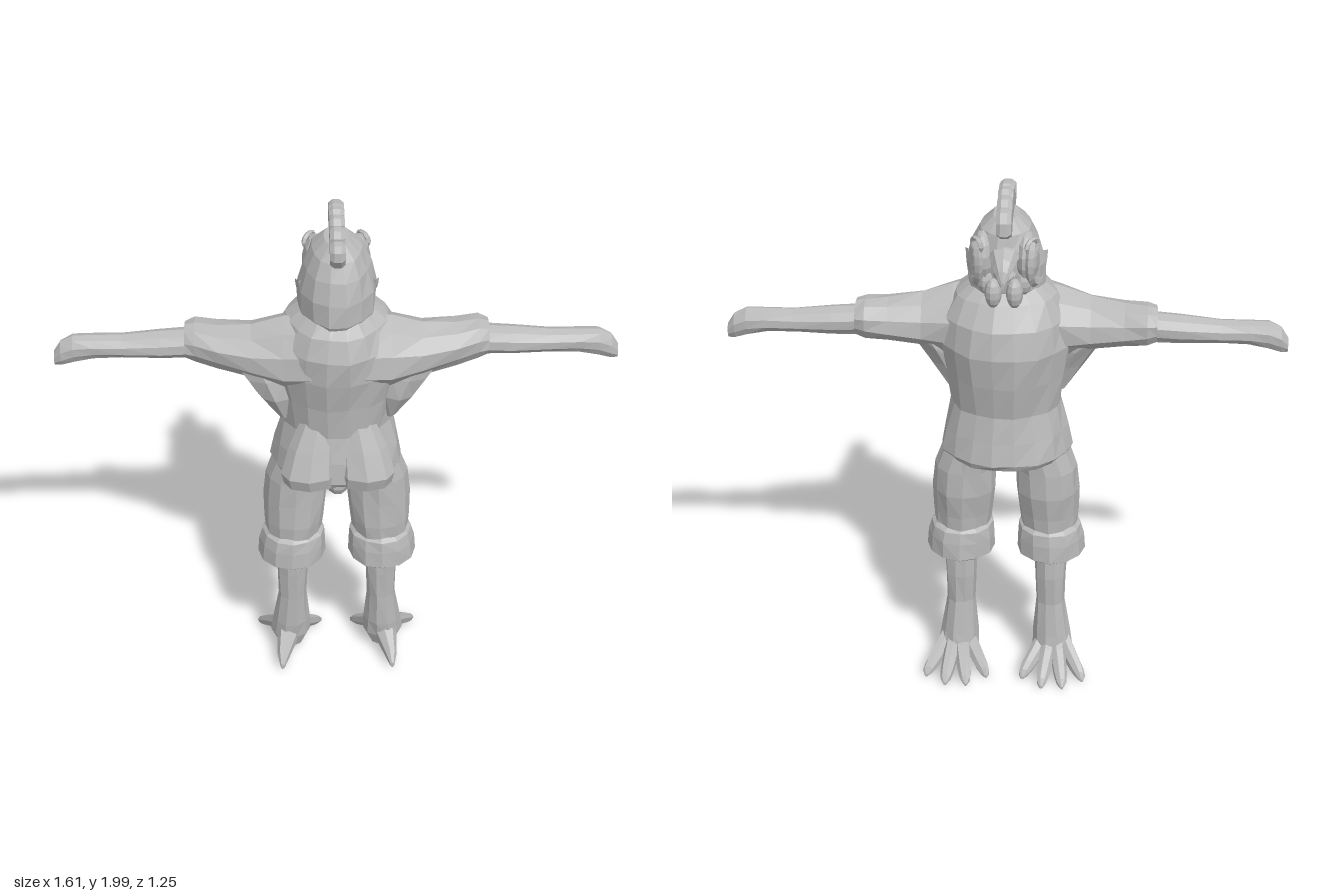
import * as THREE from 'three';

const grey = new THREE.MeshStandardMaterial({ color: 0xbababa, flatShading: true });
grey.name = 'plain grey';

// Skin through elliptical rings [y, cx, cz, rx, front rz, back rz]; ripple roughens the radius.
function loft(rings, sides = 12, ripple = 0) {
  const pos = [], idx = [];
  rings.forEach(([y, cx, cz, rx, rf, rb = rf], k) => {
    for (let i = 0; i < sides; i++) {
      const t = (i / sides) * Math.PI * 2, s = Math.sin(t);
      const w = 1 + ripple * Math.sin(i * 2.4 + k * 1.3);
      pos.push(cx + rx * w * Math.cos(t), y, cz + (s > 0 ? rf : rb) * w * s);
    }
  });
  for (let k = 0; k < rings.length - 1; k++) {
    for (let i = 0; i < sides; i++) {
      const a = k * sides + i, b = k * sides + (i + 1) % sides;
      idx.push(a, a + sides, b, b, a + sides, b + sides);
    }
  }
  // end caps
  const last = (rings.length - 1) * sides;
  for (let i = 1; i < sides - 1; i++) {
    idx.push(0, i, i + 1, last, last + i + 1, last + i);
  }
  const g = new THREE.BufferGeometry();
  g.setAttribute('position', new THREE.Float32BufferAttribute(pos, 3));
  g.setIndex(idx);
  g.computeVertexNormals();
  return g;
}

// Loft that runs along +x: rings [x, y, z, ry, rz]
const loftX = (rings, sides, ripple) =>
  loft(rings.map(([x, y, z, ry, rz]) => [x, -y, z, ry, rz]), sides, ripple).rotateZ(-Math.PI / 2);
// Loft that runs along +z: rings [z, x, y, rx, ry]
const loftZ = (rings, sides, ripple) =>
  loft(rings.map(([z, x, y, rx, ry]) => [z, x, -y, rx, ry]), sides, ripple).rotateX(Math.PI / 2);

const ball = (x, y, z, rx, ry, rz) =>
  new THREE.SphereGeometry(1, 10, 7).scale(rx, ry, rz).translate(x, y, z);

function mirrored(g) {
  const m = g.clone().scale(-1, 1, 1);
  const a = m.index.array;
  for (let i = 0; i < a.length; i += 3) [a[i], a[i + 1]] = [a[i + 1], a[i]];
  m.computeVertexNormals();
  return m;
}

export function createModel() {
  const model = new THREE.Group();
  model.name = 'roosterFigure';
  const add = (name, g) => {
    const mesh = new THREE.Mesh(g, grey);
    mesh.name = name;
    model.add(mesh);
  };
  const pair = (name, g) => {
    add(name + 'Left', g);
    add(name + 'Right', mirrored(g));
  };

  // shirt body, flared at the hem
  add('shirt', loft([
    [0.96, 0, 0, 0.225, 0.18, 0.19], [0.985, 0, 0, 0.24, 0.195, 0.21],
    [1.07, 0, 0, 0.225, 0.18, 0.205], [1.17, 0, 0, 0.20, 0.165, 0.185],
    [1.3, 0, 0, 0.215, 0.19, 0.2], [1.42, 0, 0, 0.235, 0.205, 0.225],
    [1.52, 0, 0, 0.22, 0.185, 0.235], [1.6, 0, 0, 0.18, 0.13, 0.21],
    [1.66, 0, 0, 0.11, 0.08, 0.15],
  ], 18, 0.025));
  pair('coatTail', loft([
    [0.97, 0.1, -0.17, 0.095, 0.05, 0.06], [1.02, 0.105, -0.18, 0.1, 0.05, 0.065],
    [1.12, 0.09, -0.15, 0.085, 0.05, 0.06], [1.22, 0.07, -0.13, 0.06, 0.04],
  ], 8));
  add('tailStub', ball(0, 0.95, -0.1, 0.05, 0.07, 0.08));

  // sleeves, hanging folds and forearms
  pair('sleeve', loftX([
    [0.08, 1.48, -0.05, 0.14, 0.16], [0.19, 1.465, -0.045, 0.135, 0.135],
    [0.3, 1.465, -0.04, 0.1, 0.11], [0.42, 1.475, -0.02, 0.08, 0.095],
    [0.5, 1.485, 0, 0.072, 0.085], [0.535, 1.485, 0, 0.062, 0.07],
  ], 10, 0.05));
  pair('sleeveFold', loft([
    [1.2, 0.19, -0.05, 0.025, 0.04], [1.3, 0.22, -0.06, 0.065, 0.075],
    [1.38, 0.25, -0.05, 0.085, 0.09], [1.46, 0.29, -0.04, 0.1, 0.09],
  ], 8, 0.06));
  pair('forearm', loftX([
    [0.48, 1.475, 0, 0.055, 0.058], [0.62, 1.468, 0, 0.052, 0.056],
    [0.76, 1.463, 0, 0.043, 0.047], [0.86, 1.462, 0, 0.045, 0.043],
    [0.93, 1.455, 0, 0.052, 0.042], [0.975, 1.436, 0, 0.048, 0.036],
    [1.0, 1.415, 0, 0.028, 0.022],
  ], 10, 0.03));

  // trousers with rolled cuffs
  pair('trouserLeg', loft([
    [0.6, 0.165, -0.005, 0.1, 0.1], [0.7, 0.16, -0.005, 0.11, 0.108],
    [0.8, 0.155, 0.005, 0.118, 0.115], [0.9, 0.15, 0.005, 0.115, 0.115],
    [1.02, 0.12, 0, 0.1, 0.12],
  ], 12, 0.025));
  pair('trouserCuff', loft([
    [0.515, 0.17, -0.005, 0.112, 0.112], [0.525, 0.17, -0.005, 0.127, 0.125],
    [0.59, 0.168, -0.005, 0.125, 0.122], [0.635, 0.165, -0.005, 0.118, 0.115],
    [0.65, 0.165, -0.005, 0.1, 0.1],
  ], 12, 0.02));

  // scaly shins and clawed feet
  pair('shin', loft([
    [0.03, 0.185, 0.04, 0.05, 0.05], [0.09, 0.182, 0.035, 0.075, 0.065],
    [0.16, 0.178, 0.025, 0.07, 0.065], [0.3, 0.172, 0.015, 0.055, 0.058],
    [0.42, 0.17, 0.015, 0.06, 0.065], [0.54, 0.17, 0.01, 0.065, 0.065],
  ], 10, 0.04));
  [[0.3, 0.165], [0.225, 0.215], [0.145, 0.215], [0.07, 0.16]].forEach(([x, z], i) => {
    const mid = (f) => 0.185 + (x - 0.185) * f;
    pair('toe' + (i + 1), loftZ([
      [0.02, mid(0.25), 0.13, 0.03, 0.045], [z * 0.5, mid(0.55), 0.085, 0.03, 0.035],
      [z * 0.78, mid(0.82), 0.048, 0.026, 0.028], [z * 0.92, mid(0.95), 0.03, 0.02, 0.02],
      [z, x, 0.016, 0.006, 0.007],
    ], 7));
  });
  pair('spur', loftZ([
    [-0.13, 0.215, 0.03, 0.008, 0.012], [-0.09, 0.21, 0.055, 0.024, 0.03],
    [-0.03, 0.195, 0.09, 0.04, 0.045], [0.03, 0.185, 0.12, 0.05, 0.05],
  ], 7));

  // head and feathered neck
  add('head', loft([
    [1.57, 0, 0, 0.09, 0.08, 0.15], [1.64, 0, 0, 0.135, 0.105, 0.19],
    [1.72, 0, 0, 0.137, 0.12, 0.185], [1.8, 0, 0, 0.118, 0.13, 0.165],
    [1.86, 0, 0, 0.09, 0.115, 0.135], [1.9, 0, 0, 0.045, 0.07, 0.09],
  ], 14, 0.03));
  for (let i = 0; i < 11; i++) {
    const t = (i / 11) * Math.PI * 2 + Math.PI / 2;
    const s = Math.sin(t);
    const feather = new THREE.ConeGeometry(0.05, 0.15, 5).scale(1, 1, 0.55)
      .rotateX(Math.PI - 0.2).rotateY(Math.PI / 2 - t)
      .translate(0.115 * Math.cos(t), 1.625, s * (s > 0 ? 0.085 : 0.165));
    add('neckFeather' + (i + 1), feather);
  }

  // scalloped comb along the crown
  const crest = new THREE.Shape();
  crest.moveTo(-0.15, 1.87);
  crest.lineTo(-0.172, 1.9);
  const tops = [1.945, 1.97, 1.985, 1.988, 1.975, 1.95];
  tops.forEach((y, i) => {
    const z = -0.172 + i * 0.056;
    crest.quadraticCurveTo(z - 0.004, y + 0.008, z + 0.028, y);
    crest.lineTo(z + 0.05, y - 0.025);
  });
  crest.lineTo(0.162, 1.89);
  crest.lineTo(0.12, 1.865);
  crest.closePath();
  add('comb', new THREE.ExtrudeGeometry(crest, {
    depth: 0.024, bevelEnabled: true, bevelThickness: 0.014, bevelSize: 0.01, bevelSegments: 1, curveSegments: 3,
  }).translate(0, 0, -0.012).rotateY(-Math.PI / 2));

  // face: cheek patches, eyes, beak and wattles
  pair('cheek', ball(0.075, 1.765, 0.065, 0.045, 0.095, 0.075));
  pair('faceRuff', new THREE.TorusGeometry(0.085, 0.016, 5, 14, Math.PI * 1.2)
    .rotateZ(Math.PI * 0.75).scale(1, 1.15, 1).rotateY(Math.PI / 2 - 0.25).scale(1, 1, -1)
    .rotateY(0).scale(1, 1, -1).translate(0.108, 1.765, 0.05));
  pair('eyelid', new THREE.TorusGeometry(0.026, 0.009, 5, 10)
    .scale(1.2, 0.85, 1).rotateY(1.0).translate(0.095, 1.825, 0.105));
  pair('eye', ball(0.088, 1.825, 0.1, 0.018, 0.02, 0.022));
  add('upperBeak', loftZ([
    [0.08, 0, 1.785, 0.065, 0.045], [0.13, 0, 1.785, 0.05, 0.04],
    [0.175, 0, 1.77, 0.035, 0.033], [0.205, 0, 1.745, 0.02, 0.027],
    [0.217, 0, 1.722, 0.006, 0.012],
  ], 8));
  add('lowerBeak', loftZ([
    [0.08, 0, 1.72, 0.05, 0.025], [0.13, 0, 1.72, 0.036, 0.02], [0.17, 0, 1.715, 0.012, 0.01],
  ], 7));
  pair('wattle', ball(0.037, 1.66, 0.142, 0.03, 0.055, 0.036));
  pair('sideWattle', ball(0.065, 1.685, 0.095, 0.03, 0.05, 0.035));

  // the figure stands turned away to its side
  model.rotation.y = 2.485;
  const root = new THREE.Group();
  root.name = 'rooster';
  root.add(model);
  return root;
}
